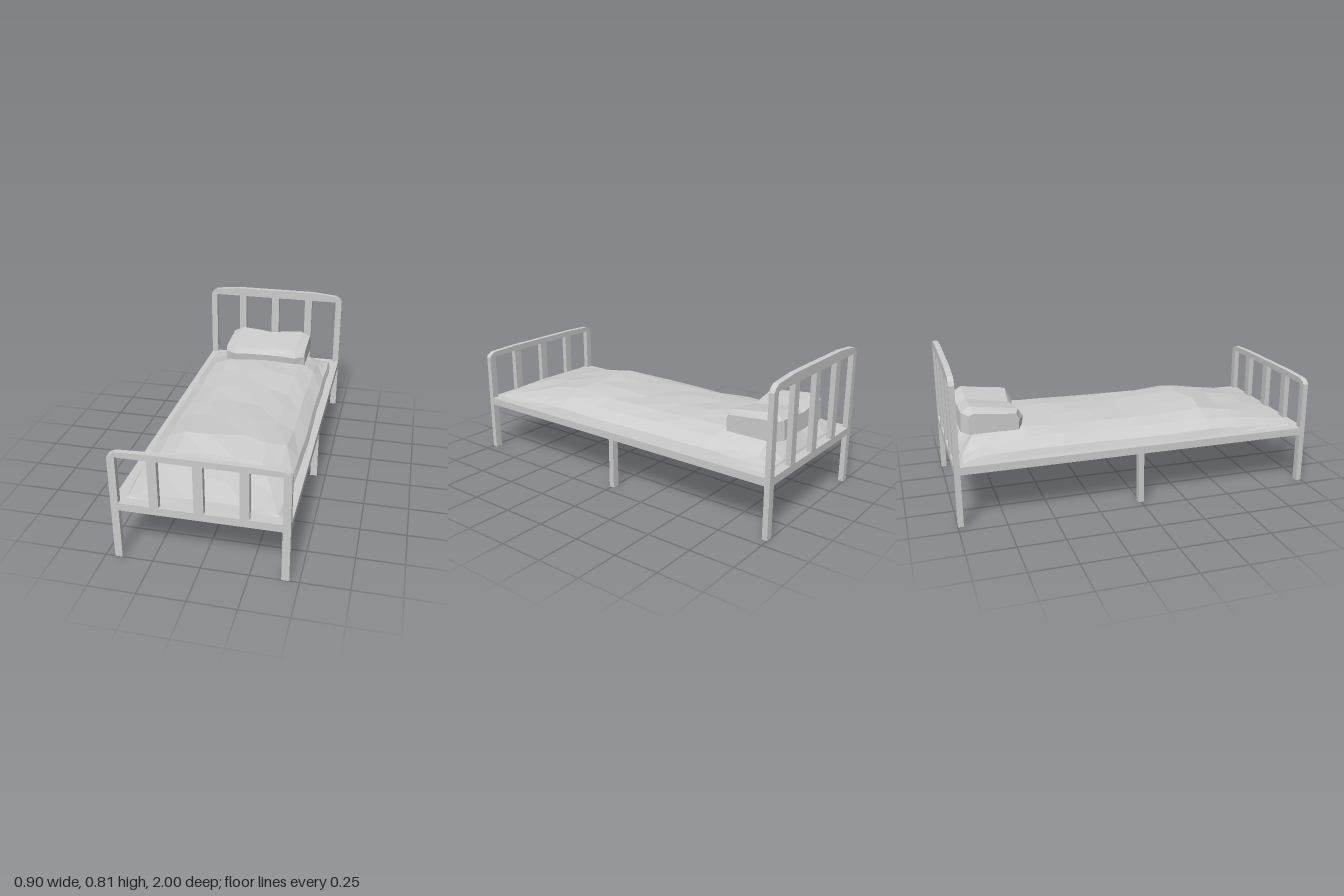
import * as THREE from 'three';

const material = new THREE.MeshStandardMaterial({ color: 0xcccccc, flatShading: true });

function add(group, name, geometry, x = 0, y = 0, z = 0) {
  const mesh = new THREE.Mesh(geometry, material);
  mesh.name = name;
  mesh.position.set(x, y, z);
  group.add(mesh);
  return mesh;
}

// Faceted skin stretched over rows of [x, y, z] points
function skin(rows) {
  const cols = rows[0].length, index = [];
  for (let i = 0; i < rows.length - 1; i++) {
    for (let j = 0; j < cols - 1; j++) {
      const a = i * cols + j, d = a + cols;
      index.push(a, d + 1, a + 1, a, d, d + 1);
    }
  }
  const geometry = new THREE.BufferGeometry();
  geometry.setAttribute('position', new THREE.Float32BufferAttribute(rows.flat(2), 3));
  geometry.setIndex(index);
  const flat = geometry.toNonIndexed();
  flat.computeVertexNormals();
  return flat;
}

// End panel: two legs, cross rail, three uprights and a cambered top rail
function endPanel(top) {
  const s = top - 0.053; // where the rounded corners begin
  const right = [[0.45, 0], [0.45, s], [0.438, s + 0.02], [0.41, s + 0.038], [0.25, top]];
  if (top < 0.7) {
    right[1][1] = top - 0.034;
    right[2][1] = top - 0.019;
    right[3][1] = top - 0.006;
  }
  const left = right.map(([x, y]) => [-x, y]).reverse();
  const points = [...right, ...left, [-0.41, 0], [-0.41, 0.285], [0.41, 0.285], [0.41, 0]];
  const shape = new THREE.Shape(points.map(([x, y]) => new THREE.Vector2(x, y)));
  const holeTop = top < 0.7 ? top - 0.034 : s;
  for (const [x0, x1] of [[-0.41, -0.25], [-0.202, -0.025], [0.025, 0.202], [0.25, 0.41]]) {
    const hole = [[x0, 0.327], [x0, holeTop], [x1, holeTop], [x1, 0.327]];
    shape.holes.push(new THREE.Path(hole.map(([x, y]) => new THREE.Vector2(x, y))));
  }
  return new THREE.ExtrudeGeometry(shape, { depth: 0.03, bevelEnabled: false });
}

function mattress() {
  const base = 0.327;
  // [z, crown height, half width, flatness of the middle]
  const sections = [
    [-0.95, 0.327, 0.4], [-0.945, 0.338, 0.4], [-0.86, 0.425, 0.405],
    [-0.76, 0.44, 0.41], [-0.6, 0.452, 0.405], [-0.42, 0.452, 0.41],
    [-0.2, 0.444, 0.405], [0, 0.441, 0.41], [0.2, 0.446, 0.415],
    [0.43, 0.458, 0.41], [0.6, 0.425, 0.405], [0.78, 0.393, 0.4],
    [0.935, 0.36, 0.39], [0.945, 0.327, 0.385],
  ];
  // [fraction of half width, fraction of crown height]
  const profile = [
    [-1, 0], [-0.965, 0.28], [-0.8, 0.66], [-0.58, 0.87], [-0.22, 0.96],
    [0.22, 1], [0.56, 0.91], [0.8, 0.68], [0.965, 0.28], [1, 0],
  ];
  const rows = sections.map(([z, crown, half], i) => profile.map(([u, v], j) => {
    const inner = i > 1 && i < sections.length - 2 && j > 1 && j < profile.length - 2;
    const ripple = inner ? 0.005 * Math.sin(i * 2.3 + j * 1.7) - 0.003 : 0;
    const drift = inner ? 0.022 * Math.sin(i * 1.9 + j * 2.6) : 0;
    const sink = inner && z < -0.65 && Math.abs(u) > 0.7 ? 0.02 : 0;
    return [u * half, base + (crown - base) * v + ripple - sink, z + drift];
  }));
  return skin(rows);
}

function pillow() {
  // Side profiles as [z, y], from lower front over the top to lower back
  const end = [[-0.63, 0.43], [-0.625, 0.487], [-0.64, 0.52], [-0.865, 0.54], [-0.89, 0.53], [-0.895, 0.43]];
  const shoulder = [[-0.605, 0.425], [-0.595, 0.485], [-0.622, 0.53], [-0.875, 0.565], [-0.925, 0.535], [-0.932, 0.43]];
  const middle = [[-0.625, 0.425], [-0.615, 0.483], [-0.642, 0.51], [-0.875, 0.545], [-0.925, 0.52], [-0.932, 0.43]];
  const cap = end.map(() => [-0.76, 0.485]);
  const between = shoulder.map(([z, y], i) => [(z + middle[i][0]) / 2, (y + middle[i][1]) / 2 + 0.002]);
  const rings = [
    [-0.26, cap], [-0.26, end], [-0.2, shoulder], [-0.1, between], [0, middle],
    [0.1, between], [0.2, shoulder], [0.26, end], [0.26, cap],
  ];
  return skin(rings.map(([x, ring]) => [...ring, ring[0]].map(([z, y]) => [x, y, z])));
}

export function createModel() {
  const bed = new THREE.Group();
  bed.name = 'bed';

  add(bed, 'headboard', endPanel(0.808), 0, 0, -1);
  add(bed, 'footboard', endPanel(0.622), 0, 0, 0.97);
  add(bed, 'bedBase', new THREE.BoxGeometry(0.9, 0.042, 1.94), 0, 0.306, 0);

  // Middle legs
  for (const side of [-1, 1]) {
    add(bed, side > 0 ? 'middleLegLeft' : 'middleLegRight',
      new THREE.BoxGeometry(0.04, 0.285, 0.03), side * 0.43, 0.1425, 0);
  }

  add(bed, 'mattress', mattress());
  add(bed, 'pillow', pillow());
  return bed;
}
